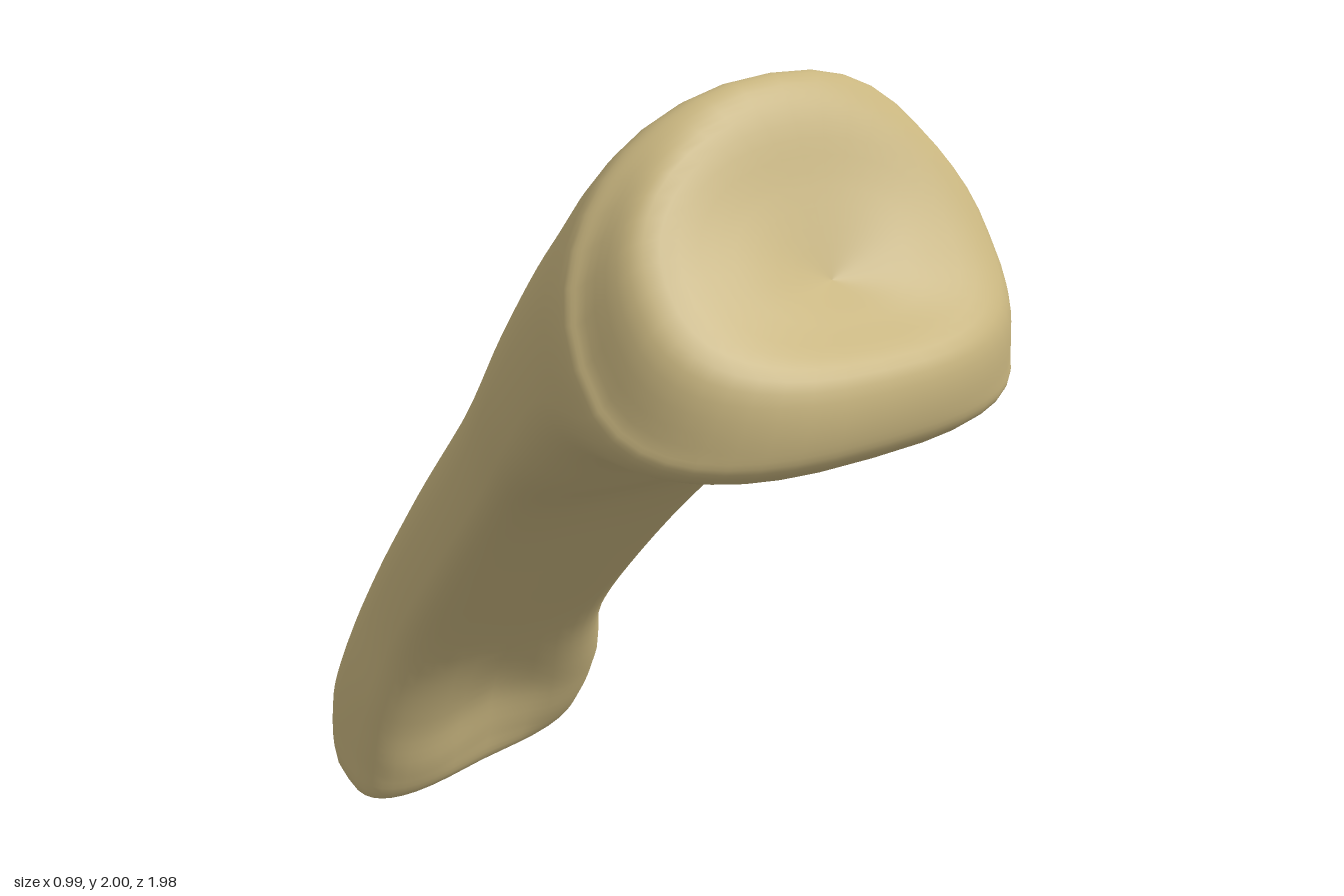
import * as THREE from 'three';

const COLUMNS = 40;
const ROWS = 72;

// Cross-sections from the socket to the knuckles: back z, y, under z, y, x from, x to
const SECTIONS = [
  [0.79, 1.65, 0.79, 1.65, 0, 0],
  [0.72, 1.81, 0.88, 1.59, -0.22, 0.21],
  [0.66, 1.95, 0.97, 1.52, -0.41, 0.39],
  [0.61, 2, 0.98, 1.42, -0.48, 0.47],
  [0.55, 1.98, 0.95, 1.36, -0.5, 0.49],
  [0.37, 1.8, 0.5, 1.24, -0.43, 0.45],
  [0.09, 1.53, 0.28, 1.12, -0.37, 0.41],
  [-0.19, 1.25, 0.07, 1, -0.3, 0.37],
  [-0.52, 0.92, -0.26, 0.68, -0.26, 0.35],
  [-0.73, 0.67, -0.47, 0.43, -0.25, 0.37],
  [-0.87, 0.46, -0.57, 0.23, -0.27, 0.44],
  [-0.98, 0.28, -0.62, 0.1, -0.27, 0.45],
  [-0.96, 0.12, -0.67, 0.035, -0.26, 0.43],
  [-0.89, 0.065, -0.73, 0.025, -0.22, 0.37],
  [-0.8, 0.05, -0.8, 0.05, 0.08, 0.08],
];

// Soft influence of a feature centred on one section
const bump = (i, centre, width) => Math.exp(-(((i - centre) / width) ** 2));
const signedPower = (value, power) => Math.sign(value) * Math.abs(value) ** power;

// Point on the rounded outline of section i at a given angle
function sectionPoint([backZ, backY, underZ, underY, xFrom, xTo], i, angle) {
  // Outlines grow squarer towards the knuckles
  const t = i / (SECTIONS.length - 1);
  const n = Math.sin(angle);
  const power = 2 / (n >= 0 ? 2 + 1.4 * t : 2.4 + t);
  const u = signedPower(Math.cos(angle), power);
  const v = signedPower(n, power);
  const half = (xTo - xFrom) / 2;
  const x = (xFrom + xTo) / 2 + u * half;

  // Flanks sweep back around the socket and sit low along the shaft
  const flank = (1 - v * v) * half;
  const socket = bump(i, 3.3, 1.4) * flank;
  const shaft = bump(i, 7.5, 2) * flank;
  // One side hangs lower at both ends
  const roll = u * half * (0.06 * bump(i, 3.5, 1.5) + 0.17 * bump(i, 12, 2));
  // Hollow between the knuckles on the underside
  const hollow = Math.max(0, -v) * half * 0.17 * bump(i, 10.2, 1.3) * bump(x, 0.1, 0.15);

  return new THREE.Vector3(
    x,
    (backY + underY + v * (backY - underY)) / 2 - 0.31 * socket - 0.12 * shaft + 0.66 * roll + 0.6 * hollow,
    (backZ + underZ + v * (backZ - underZ)) / 2 - 0.21 * socket + 0.09 * shaft - 0.75 * roll - 0.8 * hollow
  );
}

// Smooth closed skin through all the sections
function boneGeometry() {
  const positions = [], index = [];
  for (let j = 0; j < COLUMNS; j++) {
    const angle = (j / COLUMNS) * Math.PI * 2;
    const curve = new THREE.CatmullRomCurve3(SECTIONS.map((s, i) => sectionPoint(s, i, angle)));
    for (let k = 0; k <= ROWS; k++) positions.push(...curve.getPoint(k / ROWS).toArray());
  }
  const at = (k, j) => (j % COLUMNS) * (ROWS + 1) + k;
  for (let j = 0; j < COLUMNS; j++) {
    index.push(at(0, j), at(1, j), at(1, j + 1));
    for (let k = 1; k < ROWS - 1; k++) {
      index.push(at(k, j), at(k + 1, j), at(k + 1, j + 1));
      index.push(at(k, j), at(k + 1, j + 1), at(k, j + 1));
    }
    index.push(at(ROWS - 1, j), at(ROWS, j), at(ROWS - 1, j + 1));
  }
  const geometry = new THREE.BufferGeometry();
  geometry.setAttribute('position', new THREE.Float32BufferAttribute(positions, 3));
  geometry.setIndex(index);
  geometry.computeVertexNormals();
  return geometry;
}

export function createModel() {
  const group = new THREE.Group();
  group.name = 'fingerBone';
  const bone = new THREE.MeshStandardMaterial({ color: 0xc8b57f });
  bone.name = 'bone';
  const mesh = new THREE.Mesh(boneGeometry(), bone);
  mesh.name = 'boneShaftWithJointEnds';
  group.add(mesh);
  return group;
}
